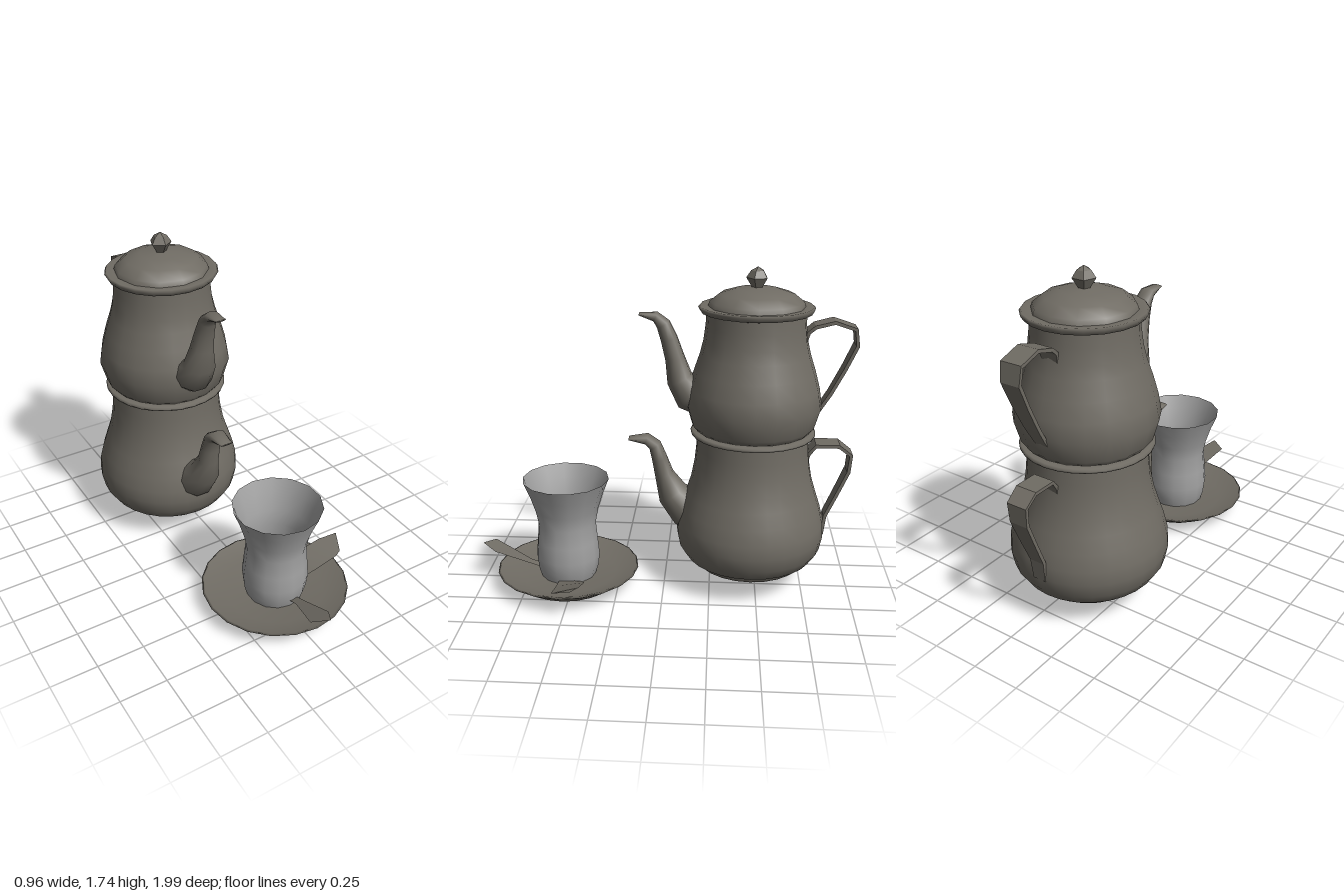
import * as THREE from 'three';

const metal = new THREE.MeshStandardMaterial({ color: 0x706c64, side: THREE.DoubleSide });
metal.name = 'dull grey metal';
const glassMat = new THREE.MeshStandardMaterial({ color: 0xa2a2a2, side: THREE.DoubleSide });
glassMat.name = 'pale glass';

const POT_X = -0.08, POT_Z = -0.465;
const CUP_X = 0.015, CUP_Z = 0.53;

function add(parent, name, geometry, material = metal) {
  const mesh = new THREE.Mesh(geometry, material);
  mesh.name = name;
  parent.add(mesh);
  return mesh;
}

// Turned part from [radius, height] pairs, listed from the bottom up on the outside
function turned(profile, sides) {
  return new THREE.LatheGeometry(profile.map(([r, y]) => new THREE.Vector2(r, y)), sides);
}

function faceted(geometry) {
  const flat = geometry.toNonIndexed();
  flat.computeVertexNormals();
  return flat;
}

// Closed loft along a path in the yz plane; sections are [z, y, half width, half thickness]
function loft(sections, sides, turn = 0) {
  const pos = [], index = [];
  const n = sections.length;
  sections.forEach(([z, y, w, t], i) => {
    const a = sections[Math.max(i - 1, 0)], b = sections[Math.min(i + 1, n - 1)];
    const len = Math.hypot(b[0] - a[0], b[1] - a[1]);
    const tz = (b[0] - a[0]) / len, ty = (b[1] - a[1]) / len;
    for (let j = 0; j < sides; j++) {
      const q = turn + (j / sides) * Math.PI * 2;
      const s = Math.sin(q) * t;
      pos.push(Math.cos(q) * w, y + s * tz, z - s * ty);
    }
  });
  const first = pos.length / 3;
  pos.push(0, sections[0][1], sections[0][0], 0, sections[n - 1][1], sections[n - 1][0]);
  for (let j = 0; j < sides; j++) {
    const k = (j + 1) % sides;
    for (let i = 0; i < n - 1; i++) {
      const a = i * sides + j, b = i * sides + k;
      index.push(a, b, b + sides, a, b + sides, a + sides);
    }
    const e = (n - 1) * sides;
    index.push(first, k, j, first + 1, e + j, e + k);
  }
  const g = new THREE.BufferGeometry();
  g.setAttribute('position', new THREE.Float32BufferAttribute(pos, 3));
  g.setIndex(index);
  g.computeVertexNormals();
  return g;
}

// Flat strap handle from [z, y, half width] stations
function strap(stations) {
  const r2 = Math.SQRT2;
  return faceted(loft(stations.map(([z, y, w]) => [z, y, w * r2, 0.009 * r2]), 4, Math.PI / 4));
}

// Thin sheet spanned between pairs of edge points
function sheet(pairs) {
  const g = new THREE.BufferGeometry(), index = [];
  g.setAttribute('position', new THREE.Float32BufferAttribute(pairs.flat(2), 3));
  for (let i = 0; i < pairs.length - 1; i++) {
    const a = i * 2;
    index.push(a, a + 1, a + 3, a, a + 3, a + 2);
  }
  g.setIndex(index);
  g.computeVertexNormals();
  return g;
}

function pot(name, parts) {
  const group = new THREE.Group();
  group.name = name;
  for (const [part, profile, sides] of parts.turned) {
    add(group, part, turned(profile, sides)).position.set(POT_X, 0, POT_Z);
  }
  add(group, 'spout', loft(parts.spout, 10)).position.x = POT_X;
  add(group, 'handle', strap(parts.handle)).position.x = POT_X;
  return group;
}

export function createModel() {
  const model = new THREE.Group();
  model.name = 'teaSet';

  // Large kettle at the bottom of the stack
  model.add(pot('lowerKettle', {
    turned: [
      ['foot', [[0, 0.12], [0.29, 0.12], [0.295, 0.145]], 24],
      ['body', [[0.29, 0.14], [0.345, 0.165], [0.385, 0.225], [0.4, 0.3], [0.395, 0.37], [0.375, 0.45],
        [0.348, 0.53], [0.323, 0.61], [0.306, 0.7], [0.298, 0.78], [0.295, 0.865]], 28],
      ['rim', [[0.29, 0.858], [0.327, 0.862], [0.33, 0.872], [0.322, 0.882], [0.29, 0.884]], 28],
    ],
    spout: [[-0.22, 0.37, 0.13, 0.12], [-0.12, 0.42, 0.115, 0.115], [-0.04, 0.5, 0.085, 0.085],
      [0.005, 0.61, 0.058, 0.052], [0.03, 0.7, 0.054, 0.042], [0.055, 0.775, 0.052, 0.035],
      [0.1, 0.81, 0.05, 0.03], [0.195, 0.812, 0.035, 0.006]],
    handle: [[-0.74, 0.68, 0.04], [-0.765, 0.76, 0.05], [-0.8, 0.805, 0.057], [-0.92, 0.805, 0.057],
      [-0.985, 0.755, 0.055], [-0.978, 0.66, 0.05], [-0.92, 0.52, 0.045], [-0.868, 0.4, 0.04],
      [-0.855, 0.29, 0.035]],
  }));

  // Small teapot stacked on top, with lid
  const upper = pot('upperTeapot', {
    turned: [
      ['body', [[0, 0.885], [0.3, 0.885], [0.325, 0.915], [0.355, 1.02], [0.34, 1.11], [0.315, 1.2],
        [0.285, 1.29], [0.268, 1.36], [0.258, 1.44], [0.255, 1.51]], 20],
      ['rim', [[0.25, 1.5], [0.285, 1.508], [0.298, 1.53], [0.29, 1.54], [0.24, 1.535]], 20],
      ['lid', [[0.25, 1.53], [0.24, 1.56], [0.19, 1.6], [0.11, 1.625], [0, 1.635]], 12],
    ],
    spout: [[-0.22, 1.04, 0.1, 0.1], [-0.13, 1.075, 0.105, 0.1], [-0.075, 1.15, 0.09, 0.07],
      [-0.05, 1.26, 0.065, 0.052], [-0.02, 1.36, 0.052, 0.045], [0.01, 1.435, 0.046, 0.038],
      [0.05, 1.475, 0.042, 0.026], [0.135, 1.488, 0.03, 0.006]],
    handle: [[-0.71, 1.34, 0.04], [-0.73, 1.41, 0.05], [-0.765, 1.44, 0.055], [-0.86, 1.465, 0.057],
      [-0.968, 1.43, 0.057], [-0.98, 1.345, 0.052], [-0.925, 1.22, 0.047], [-0.86, 1.09, 0.042],
      [-0.8, 0.99, 0.035]],
  });
  const knob = faceted(turned([[0.025, 1.62], [0.03, 1.635], [0.058, 1.68], [0.035, 1.715], [0, 1.735]], 5));
  add(upper, 'lidKnob', knob).position.set(POT_X, 0, POT_Z);
  model.add(upper);

  // Saucer with a sloping wall and thin lip
  const saucer = turned([[0, 0.005], [0.25, 0], [0.265, 0.01], [0.37, 0.08], [0.387, 0.092],
    [0.375, 0.097], [0.26, 0.055], [0, 0.045]], 20);
  add(model, 'saucer', saucer).position.set(CUP_X, 0, CUP_Z);

  // Waisted open glass
  const glass = turned([[0.15, 0.05], [0.166, 0.1], [0.174, 0.17], [0.166, 0.26], [0.157, 0.36],
    [0.172, 0.44], [0.2, 0.53], [0.232, 0.61]], 14);
  add(model, 'glass', glass, glassMat).position.set(CUP_X, 0, CUP_Z);

  // Two spoons leaning over the saucer edge
  add(model, 'sideSpoon', sheet([
    [[0.16, 0.07, 0.44], [0.16, 0.07, 0.56]],
    [[0.25, 0.11, 0.41], [0.25, 0.085, 0.56]],
    [[0.38, 0.15, 0.42], [0.4, 0.125, 0.56]],
    [[0.475, 0.175, 0.45], [0.43, 0.14, 0.55]],
  ]));
  add(model, 'frontSpoon', sheet([
    [[0.0, 0.08, 0.64], [0.05, 0.08, 0.64]],
    [[0.005, 0.115, 0.74], [0.055, 0.115, 0.74]],
    [[-0.06, 0.2, 0.95], [0.07, 0.185, 0.925]],
    [[0.02, 0.215, 1.0], [0.025, 0.215, 1.0]],
  ]));

  return model;
}
